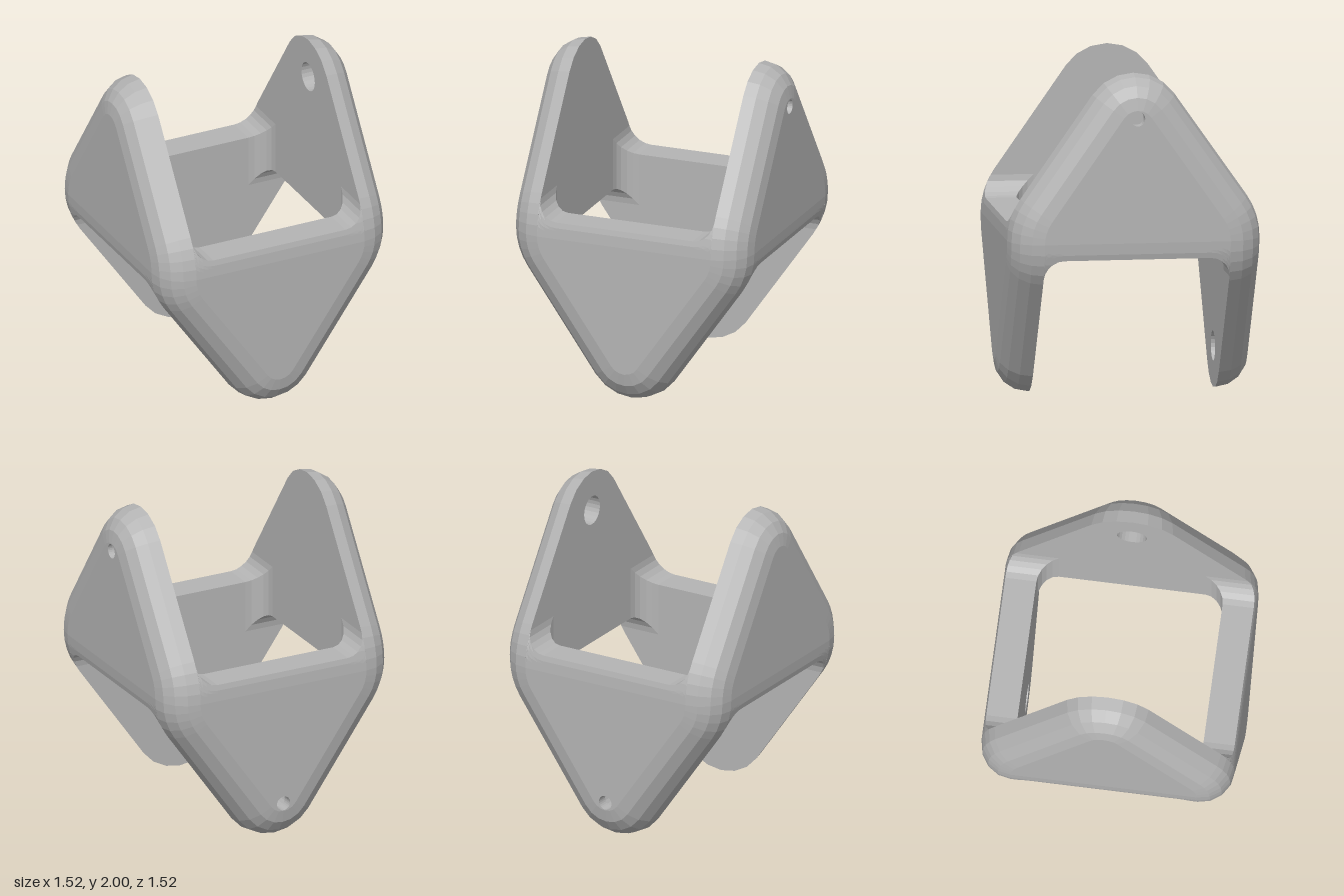
import * as THREE from 'three';
import { mergeGeometries } from 'three/addons/utils/BufferGeometryUtils.js';

const INNER = 0.56, T = 0.2, FILLET = 0.12;   // inner half-width, wall thickness, slot fillet
const APEX_R = 0.3, LEAN = THREE.MathUtils.degToRad(35);
const C = Math.cos(LEAN), S = Math.sin(LEAN);
// Shoulder radius that meets the sloping edge tangentially
const SHOULDER_R = (S * (2 - APEX_R) + APEX_R - C * (INNER + T) - S) / (1 - C);
const HOLE_Y = 1.75, HOLE_R = 0.044, BORE_R = 0.09;

// Ear outline (u, y), inset by d, from one shoulder over the apex to the other
function outline(d) {
  const pts = [];
  const arc = (cx, cy, r, a, b, n) => {
    for (let i = 0; i <= n; i++) {
      const t = a + (b - a) * i / n;
      pts.push(new THREE.Vector2(cx + (r - d) * Math.cos(t), cy + (r - d) * Math.sin(t)));
    }
  };
  const c = INNER + T - SHOULDER_R;
  arc(c, 1, SHOULDER_R, 0, LEAN, 4);
  arc(0, 2 - APEX_R, APEX_R, LEAN, Math.PI - LEAN, 6);
  arc(-c, 1, SHOULDER_R, Math.PI - LEAN, Math.PI, 4);
  return pts;
}

// Half-width of the crossing yoke below the middle height
const edge = outline(0);
function halfWidth(y) {
  const v = 2 - y;
  for (let i = 0; i < 7; i++) {
    const a = edge[i], b = edge[i + 1];
    if (v <= b.y) return a.x + (b.x - a.x) * (v - a.y) / (b.y - a.y);
  }
  return edge[7].x;
}

// Faceted surface through rows of points
function surface(rows) {
  const pos = [], put = (...ps) => ps.forEach(p => pos.push(...p));
  for (let i = 0; i < rows.length - 1; i++) {
    for (let j = 0; j < rows[i].length - 1; j++) {
      const a = rows[i][j], b = rows[i][j + 1], c = rows[i + 1][j + 1], d = rows[i + 1][j];
      put(a, b, c, a, c, d);
    }
  }
  const g = new THREE.BufferGeometry();
  g.setAttribute('position', new THREE.Float32BufferAttribute(pos, 3));
  g.computeVertexNormals();
  return g;
}

// Flat ear face at a given x, facing out (+1) or in (-1)
function face(points, x, dir, holeR) {
  const s = new THREE.Shape(points);
  if (holeR) s.holes.push(new THREE.Path().absarc(0, HOLE_Y, holeR, 0, Math.PI * 2, true));
  const g = new THREE.ShapeGeometry(s, 12).rotateY(dir * Math.PI / 2).translate(x, 0, 0).toNonIndexed();
  g.deleteAttribute('uv');
  return g;
}

// Rounded outer shell and both faces of an ear
function earGeometry(hole) {
  const rings = [];
  for (let k = 0; k <= 4; k++) {
    const a = k / 4 * Math.PI / 2;
    rings.push(outline(T * (1 - Math.cos(a))).map(p => [INNER + T * Math.sin(a), p.y, p.x]));
  }
  return mergeGeometries([
    surface(rings),
    face(outline(T), INNER + T, 1, hole && HOLE_R),
    face(outline(0), INNER, -1, hole && BORE_R),
  ]);
}

// Strip joining the ear to the crossing yoke, with filleted slot edge
function bridgeGeometry() {
  const side = [];
  for (let i = 0; i <= 5; i++) {
    const a = i / 5 * Math.PI / 2, drop = FILLET * (1 - Math.cos(a));
    side.push({ z: INNER - FILLET + FILLET * Math.sin(a), y: 0.9 - drop, xi: INNER - drop });
  }
  const cols = [...side.map(s => ({ ...s, z: -s.z })).reverse(), ...side];
  const outer = cols.map(({ z, y }) => Array.from({ length: 7 }, (_, k) => {
    const h = y + (1 - y) * k / 6;
    return [halfWidth(h), h, z];
  }));
  const under = cols.map(({ z, y, xi }) => [[xi, y, z], [halfWidth(y), y, z]]);
  const inside = cols.map(({ z, y, xi }) => [[xi, 1, z], [xi, y, z]]);
  return mergeGeometries([surface(outer), surface(under), surface(inside)]);
}

// Stepped pin hole: wide on the inside, narrow on the outside
function boreGeometry() {
  const step = INNER + 0.13;
  const profile = [[BORE_R, INNER], [BORE_R, step], [HOLE_R, step], [HOLE_R, INNER + T]];
  const rows = profile.map(([r, x]) => Array.from({ length: 25 }, (_, i) => {
    const t = i / 24 * Math.PI * 2;
    return [x, HOLE_Y + r * Math.sin(t), r * Math.cos(t)];
  }));
  return surface(rows);
}

export function createModel() {
  const grey = new THREE.MeshStandardMaterial({ color: 0xb4b4b4, side: THREE.DoubleSide });
  grey.name = 'grey';
  const model = new THREE.Group();
  model.name = 'doubleYokeLink';

  const add = (parent, name, geometry) => {
    const m = new THREE.Mesh(geometry, grey);
    m.name = name;
    parent.add(m);
  };
  // A yoke is two facing ears, one of them drilled
  const yoke = (name, drilled) => {
    const g = new THREE.Group();
    g.name = name;
    for (const sign of [1, -1]) {
      const half = new THREE.Group();
      half.name = sign > 0 ? 'firstArm' : 'secondArm';
      half.rotation.y = sign > 0 ? 0 : Math.PI;
      add(half, 'ear', earGeometry(sign === drilled));
      add(half, 'bridge', bridgeGeometry());
      if (sign === drilled) add(half, 'pinHole', boreGeometry());
      g.add(half);
    }
    model.add(g);
    return g;
  };

  yoke('upperYoke', 1);
  // Lower yoke: turned upside down and a quarter turn round
  const lower = yoke('lowerYoke', -1);
  lower.quaternion.setFromAxisAngle(new THREE.Vector3(1, 0, 1).normalize(), Math.PI);
  lower.position.y = 2;
  return model;
}
